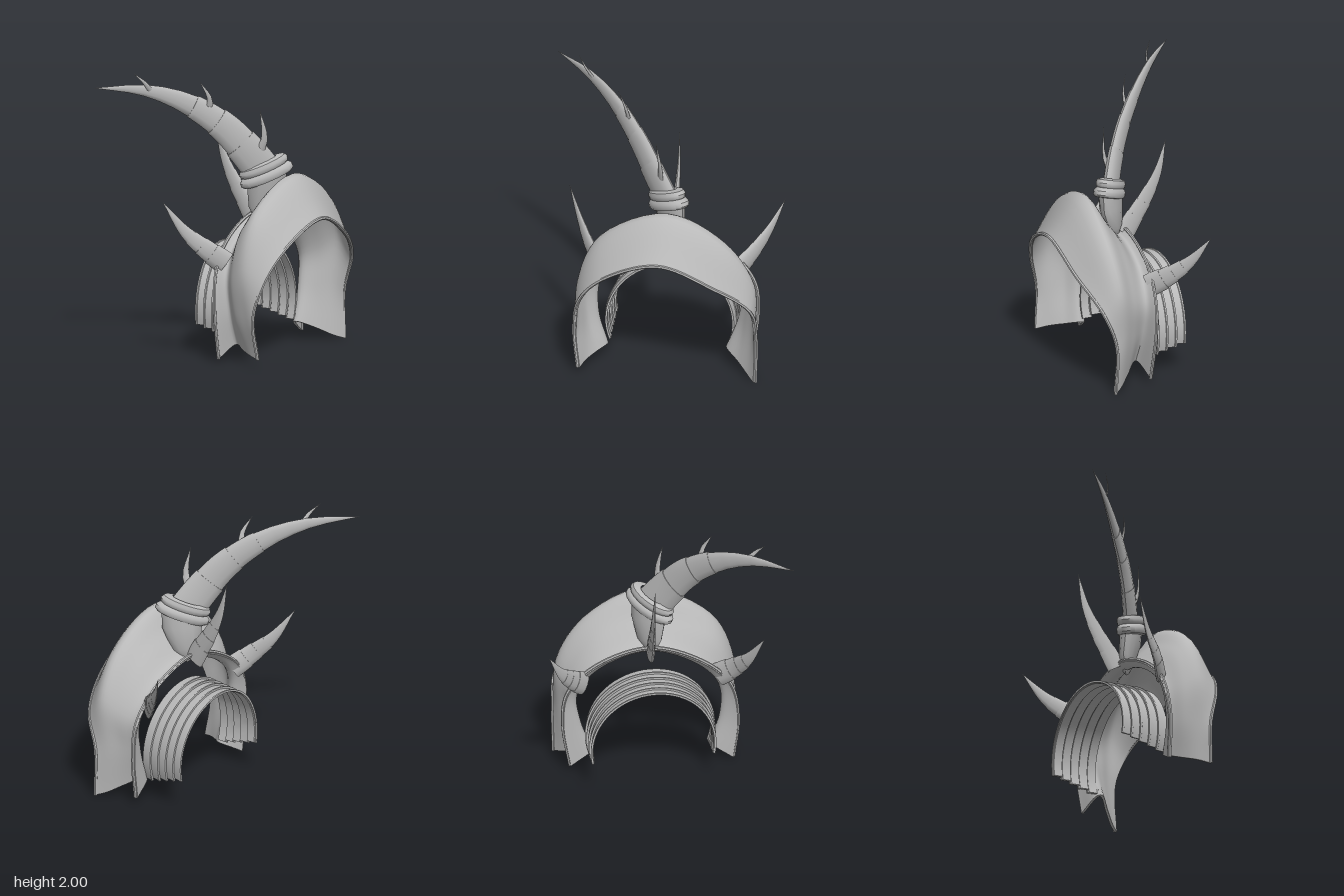
import * as THREE from 'three';
import { toCreasedNormals } from 'three/addons/utils/BufferGeometryUtils.js';

const steel = new THREE.MeshStandardMaterial({ color: 0xb9b9b9 });
steel.name = 'steel';
const V = (p) => new THREE.Vector3(...p);
const curve = (pts) => new THREE.CatmullRomCurve3(pts.map(V));

function mesh(geo, name, crease = 0.7) {
  const m = new THREE.Mesh(toCreasedNormals(geo, crease), steel);
  m.name = name;
  return m;
}

// Grid of points from rows; with a thickness it becomes a closed plate
function loft(rows, thickness = 0) {
  const nt = rows.length - 1, nu = rows[0].length - 1, id = (t, u) => t * (nu + 1) + u;
  const pts = rows.flat(), index = [];
  for (let t = 0; t < nt; t++) for (let u = 0; u < nu; u++) {
    const a = id(t, u), b = id(t, u + 1), c = id(t + 1, u), d = id(t + 1, u + 1);
    index.push(a, b, c, b, d, c);
  }
  const geo = new THREE.BufferGeometry().setFromPoints(pts);
  geo.setIndex(index);
  if (!thickness) return geo;
  geo.computeVertexNormals();
  const n = pts.length, normal = geo.attributes.normal;
  const inner = pts.map((p, i) => p.clone().addScaledVector(new THREE.Vector3().fromBufferAttribute(normal, i), -thickness));
  const all = index.slice();
  for (let i = 0; i < index.length; i += 3) all.push(index[i] + n, index[i + 2] + n, index[i + 1] + n);
  const loop = [];
  for (let u = 0; u < nu; u++) loop.push(id(0, u));
  for (let t = 0; t < nt; t++) loop.push(id(t, nu));
  for (let u = nu; u > 0; u--) loop.push(id(nt, u));
  for (let t = nt; t > 0; t--) loop.push(id(t, 0));
  loop.forEach((p, i) => {
    const q = loop[(i + 1) % loop.length];
    all.push(q, p, p + n, q, p + n, q + n);
  });
  const solid = new THREE.BufferGeometry().setFromPoints([...pts, ...inner]);
  solid.setIndex(all);
  return solid;
}

// Tapering radii [position, radius]; each band flares a little before the next seam
function taper(radius, seams) {
  const out = [];
  for (let i = 0; i + 1 < seams.length; i++) for (let k = 0; k <= 6; k++) {
    const t = seams[i] + (seams[i + 1] - seams[i]) * (k / 6);
    const flare = i + 2 < seams.length ? 0.96 + 0.07 * (k / 6) : 0.96;
    out.push([t, Math.max(0.001, radius * (1 - t ** 1.3) * flare)]);
  }
  return out;
}

// Level direction square to a horn's plane of bending
function sideOf(path) {
  const d = V(path[path.length - 1]).sub(V(path[0]));
  return new THREE.Vector3(d.z, 0, -d.x).normalize();
}

// Blade-like sweep along a path: full radius in the bending plane, flattened sideways
function horn(name, path, profile, flat, side = sideOf(path), sides = 12) {
  const c = curve(path);
  const rows = profile.map(([t, r]) => {
    const p = c.getPointAt(t), across = side.clone().cross(c.getTangentAt(t)).normalize();
    return Array.from({ length: sides + 1 }, (_, j) => {
      const a = ((j % sides) / sides) * Math.PI * 2;
      return p.clone().addScaledVector(across, r * Math.cos(a)).addScaledVector(side, r * flat * Math.sin(a));
    });
  });
  return mesh(loft(rows), name, 0.8);
}

export function createModel() {
  const g = new THREE.Group();
  g.name = 'shoulderArmour';

  // Shoulder plate: arches from the front foot, over the top, to the back foot
  const valley = [[.21, .11, .34], [.2, .35, .41], [.17, .6, .4], [.14, .79, .25], [.12, .93, -.1], [.11, .81, -.46], [.12, .6, -.62], [.13, .38, -.6], [.15, .13, -.51]];
  const bulge = [[.3, .09, .4], [.28, .35, .47], [.27, .62, .48], [.26, .92, .35], [.25, 1.08, -.1], [.24, .97, -.46], [.23, .65, -.67], [.22, .38, -.65], [.25, .08, -.61]];
  const crest = [[.4, .07, .46], [.39, .35, .5], [.38, .68, .51], [.38, 1.04, .35], [.38, 1.26, -.12], [.38, 1.06, -.53], [.35, .74, -.73], [.31, .4, -.72], [.33, .03, -.69]];
  const rim = [[.485, .05, .49], [.465, .33, .52], [.53, .6, .475], [.59, .81, .3], [.625, .97, -.1], [.58, .81, -.47], [.475, .6, -.72], [.39, .35, -.75], [.395, .005, -.745]];
  // The flange is the valley pushed outward, most of all at the feet
  const flange = valley.map(([x, y, z], i) => {
    const push = (0.03 + 0.14 * (i / 4 - 1) ** 2) / Math.hypot(y - 0.37, z + 0.1);
    return [x - 0.05, y + (y - 0.37) * push, z + (z + 0.1) * push];
  });
  const arches = [flange, valley, bulge, crest, rim].map(curve);
  const rows = [];
  for (let t = 0; t <= 48; t++) {
    const across = new THREE.CatmullRomCurve3(arches.map((a) => a.getPoint(t / 48)));
    rows.push(across.getPoints(24));
  }
  g.add(mesh(loft(rows, 0.018), 'shoulderPlate', 0.8));

  // Rolled edges along the rim and flange
  [[arches[0], 'flangeEdge'], [arches[4], 'rimEdge']].forEach(([c, name]) =>
    g.add(mesh(new THREE.TubeGeometry(c, 60, 0.012, 6), name)));

  // Arm sleeve of five overlapping bands
  const sleeve = new THREE.Group();
  sleeve.name = 'armSleeve';
  const bandProfile = [[0, .007], [.012, .007], [.015, .002], [.074, -.004]];
  for (let i = 0; i < 5; i++) {
    const reach = 0.2 + 0.04 * i, x0 = -0.215 + i * 0.068, radius = 0.434 + 0.004 * i, band = [];
    for (let s = 0; s <= 40; s++) {
      const a = -reach + (s / 40) * (Math.PI + 2 * reach);
      const shift = 0.085 * ((Math.cos(a) + 1) / 2) ** 2;
      band.push(bandProfile.map(([dx, dr]) =>
        V([x0 + dx + shift, 0.3 + (radius + dr) * Math.sin(a), -0.1 + (radius + dr) * Math.cos(a)])));
    }
    sleeve.add(mesh(loft(band, 0.014), 'sleeveBand' + (i + 1), 0.5));
  }
  g.add(sleeve);

  // Great horn: socket, double collar, stepped sweep, all flattened across the same plane
  const sweep = [[.17, 1.24, -.09], [.08, 1.43, .035], [-.02, 1.59, .15], [-.2, 1.765, .34], [-.4, 1.87, .56], [-.64, 1.905, .835]];
  const side = sideOf(sweep);
  g.add(horn('hornSocket', [[.13, .88, -.09], [.14, 1, -.1], [.17, 1.15, -.105], [.17, 1.26, -.095]],
    [[0, .005], [.08, .045], [.3, .1], [.7, .14], [1, .15]], 0.5, side));
  g.add(horn('hornCollar', [[.185, 1.2, -.105], [.15, 1.33, -.07]],
    [[0, .12], [.04, .18], [.15, .198], [.35, .198], [.48, .178], [.52, .165], [.58, .178], [.75, .185], [.92, .17], [1, .11]], 0.5, side, 20));
  g.add(horn('greatHorn', sweep, taper(.135, [0, .2, .36, .5, 1]), 0.36, side));

  // Thorns on the great horn
  [
    [.034, [[.15, 1.38, -.03], [.195, 1.5, -.04], [.18, 1.7, -.005]]],
    [.029, [[-.1, 1.68, .23], [-.07, 1.79, .245], [-.11, 1.92, .31]]],
    [.019, [[-.37, 1.87, .54], [-.385, 1.93, .59], [-.435, 2, .65]]],
  ].forEach(([r, path], i) => g.add(horn('thorn' + (i + 1), path, taper(r, [0, 1]), 0.4, side, 8)));

  // Three smaller horns along the flange
  [
    ['topHorn', .08, [[.06, .92, -.1], [0, 1.02, -.1], [-.08, 1.14, -.1], [-.18, 1.33, -.1], [-.245, 1.57, -.095]]],
    ['frontHorn', .085, [[.15, .68, .38], [.06, .78, .48], [-.06, .91, .57], [-.18, 1.12, .67]]],
    ['backHorn', .085, [[.07, .7, -.56], [-.04, .79, -.65], [-.16, .91, -.74], [-.28, 1.1, -.835]]],
  ].forEach(([name, r, path]) => g.add(horn(name, path, taper(r, [0, .2, .35, .5, 1]), 0.36)));

  return g;
}
